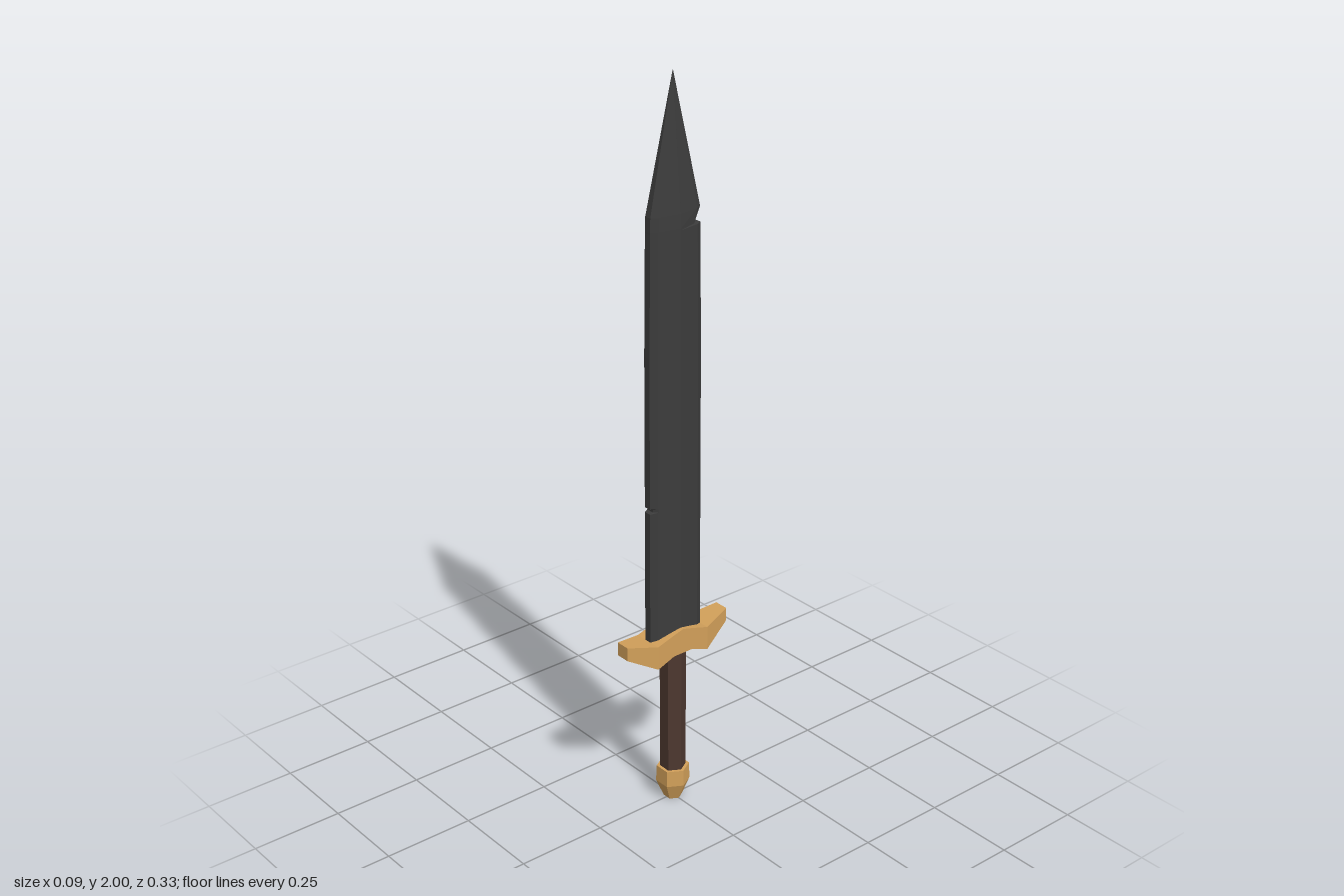
import * as THREE from 'three';

// Joins equal-length rings (counter-clockwise about the travel axis) into a closed solid.
function loft(rings) {
  const n = rings[0].length;
  const index = [];
  for (let r = 0; r < rings.length - 1; r++) {
    for (let i = 0; i < n; i++) {
      const j = (i + 1) % n;
      const a = r * n + i, b = r * n + j;
      index.push(a, b, b + n, a, b + n, a + n);
    }
  }
  const last = (rings.length - 1) * n;
  for (let i = 1; i < n - 1; i++) {
    index.push(0, i + 1, i, last, last + i, last + i + 1);
  }
  const geometry = new THREE.BufferGeometry();
  geometry.setAttribute('position', new THREE.Float32BufferAttribute(rings.flat(2), 3));
  geometry.setIndex(index);
  const flat = geometry.toNonIndexed();
  flat.computeVertexNormals();
  return flat;
}

function part(name, geometry, color) {
  const mesh = new THREE.Mesh(geometry, new THREE.MeshStandardMaterial({ color, flatShading: true }));
  mesh.name = name;
  return mesh;
}

// Ten-sided blade section: thick spine, bevelled blunt edges; a nick pulls one edge inward.
function bladeRing([y, t, w, front = w, back = w]) {
  const f = Math.min(0.78 * w, front * 0.92);
  const b = Math.min(0.78 * w, back * 0.92);
  return [
    [t, y, 0], [0.65 * t, y, -b], [0.32 * t, y, -back],
    [-0.32 * t, y, -back], [-0.65 * t, y, -b], [-t, y, 0],
    [-0.65 * t, y, f], [-0.32 * t, y, front],
    [0.32 * t, y, front], [0.65 * t, y, f],
  ];
}

// Six-sided turned shape with corners on the x axis.
function hexLathe(profile) {
  const geometry = new THREE.LatheGeometry(profile.map(([r, y]) => new THREE.Vector2(r, y)), 6);
  return geometry.rotateY(Math.PI / 2);
}

export function createModel() {
  const sword = new THREE.Group();
  sword.name = 'sword';
  const brass = 0xd2a05a;

  // Blade: height, half thickness, half width, then front and back edge where nicked
  const blade = [
    [0.5, 0.032, 0.084],
    [0.878, 0.032, 0.083],
    [0.882, 0.032, 0.083, 0.074, 0.083],
    [0.888, 0.032, 0.083, 0.074, 0.083],
    [0.892, 0.032, 0.083],
    [1.3, 0.032, 0.082],
    [1.617, 0.031, 0.078],
    [1.621, 0.031, 0.078, 0.078, 0.054],
    [1.657, 0.03, 0.077],
    [2, 0.0005, 0.0005],
  ];
  sword.add(part('blade', loft(blade.map(bladeRing)), 0x3c3c3c));

  // Crossguard: z, half thickness, underside, top, mirrored front to back
  const half = [
    [0.167, 0.02, 0.488, 0.526],
    [0.083, 0.042, 0.441, 0.508],
    [0.03, 0.042, 0.461, 0.524],
  ];
  const stations = [
    ...half.map(([z, ...rest]) => [-z, ...rest]),
    [0, 0.042, 0.461, 0.532],
    ...half.slice().reverse(),
  ];
  const guardRings = stations.map(([z, x, low, high]) => [[x, low, z], [x, high, z], [-x, high, z], [-x, low, z]]);
  sword.add(part('crossguard', loft(guardRings), brass));

  // Grip
  sword.add(part('grip', hexLathe([[0, 0.08], [0.035, 0.08], [0.035, 0.48], [0, 0.48]]), 0x4e3830));

  // Pommel
  sword.add(part('pommel', hexLathe([[0, 0], [0.025, 0], [0.046, 0.05], [0.044, 0.096], [0, 0.096]]), brass));

  return sword;
}
